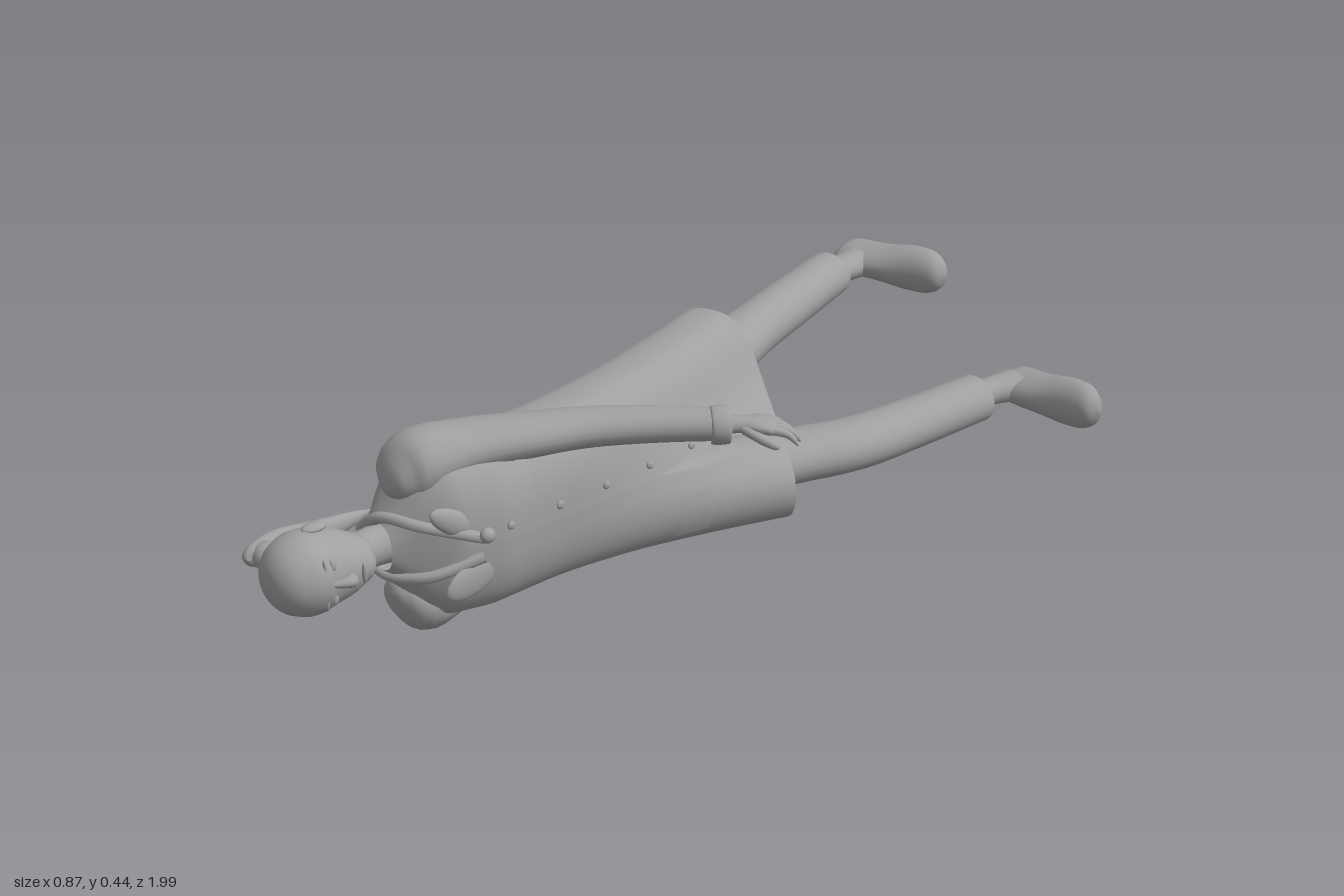
import * as THREE from 'three';

const grey = new THREE.MeshStandardMaterial({ color: 0xa0a0a0, side: THREE.DoubleSide });
grey.name = 'plainGrey';
const MID = 0.22; // height of the body's plane of symmetry

// Surface over a grid of points; wrap joins the last column to the first
function grid(rows, cols, point, wrap) {
  const pos = [], idx = [], w = wrap ? cols : cols + 1;
  for (let i = 0; i <= rows; i++)
    for (let j = 0; j < w; j++) pos.push(...point(i / rows, j / cols));
  for (let i = 0; i < rows; i++)
    for (let j = 0; j < cols; j++) {
      const a = i * w + j, b = i * w + (j + 1) % w;
      idx.push(a, a + w, b, b, a + w, b + w);
    }
  const g = new THREE.BufferGeometry();
  g.setAttribute('position', new THREE.Float32BufferAttribute(pos, 3));
  g.setIndex(idx);
  g.computeVertexNormals();
  return g;
}

// Smooth interpolation through rows of numbers
function spline(rows, t) {
  const f = t * (rows.length - 1), i = Math.min(Math.floor(f), rows.length - 2), u = f - i;
  const at = (k) => rows[Math.min(Math.max(k, 0), rows.length - 1)];
  const [a, b, c, d] = [at(i - 1), at(i), at(i + 1), at(i + 2)];
  return b.map((_, k) => 0.5 * (2 * b[k] + (c[k] - a[k]) * u
    + (2 * a[k] - 5 * b[k] + 4 * c[k] - d[k]) * u * u
    + (3 * b[k] - a[k] - 3 * c[k] + d[k]) * u * u * u));
}

// Loft of ellipses [x, y, z, radius across, radius in y]; "under" flattens the lower half
function loft(sections, cols = 20, under = null) {
  return grid((sections.length - 1) * 4, cols, (t, s) => {
    const c = spline(sections, t);
    const p = spline(sections, Math.max(0, t - 0.02)), q = spline(sections, Math.min(1, t + 0.02));
    const dx = q[0] - p[0], dz = q[2] - p[2], l = Math.hypot(dx, dz) || 1;
    const a = s * Math.PI * 2, rx = Math.max(c[3], 0), ry = Math.max(c[4], 0);
    let r = rx * Math.cos(a);
    if (under !== null && r < 0) r = Math.max(r, -under);
    return [c[0] - r * dz / l, c[1] + ry * Math.sin(a), c[2] + r * dx / l];
  }, true);
}

// Coat profile: z, centre x, half depth, half width
const COAT = [
  [0.745, -0.035, 0.045, 0.05], [0.72, -0.035, 0.062, 0.085], [0.69, -0.03, 0.085, 0.145],
  [0.64, -0.015, 0.11, 0.175], [0.55, -0.003, 0.122, 0.18], [0.4, -0.003, 0.12, 0.18],
  [0.2, -0.005, 0.118, 0.187], [0, -0.005, 0.116, 0.196], [-0.21, -0.005, 0.11, 0.205],
];
function coatAt(z) {
  let i = 0;
  while (i < COAT.length - 2 && COAT[i + 1][0] > z) i++;
  const u = (COAT[i][0] - z) / (COAT[i][0] - COAT[i + 1][0]);
  return COAT[i].map((v, k) => v + (COAT[i + 1][k] - v) * u);
}
// The skirt follows the stride: one side swings back, the other forward
const swing = (y, z) => -0.115 * Math.pow(Math.max(0, (0.4 - z) / 0.61), 1.6) * Math.tanh((y - MID) / 0.08);
const soft = (v) => Math.sign(v) * Math.pow(Math.abs(v), 0.8);
function coatPoint(z, a) {
  const [, cx, rx, ry] = coatAt(z);
  const y = MID + ry * soft(Math.sin(a)), dx = rx * soft(Math.cos(a));
  const hem = Math.max(0, (0.15 - z) / 0.36);
  return [cx + dx + swing(y, z), y, z - 0.4 * dx * hem * Math.tanh((y - MID) / 0.07)];
}
function frontX(y, z) {
  const [, cx, rx, ry] = coatAt(z);
  return cx + rx * Math.pow(Math.max(0, 1 - Math.pow(Math.abs(y - MID) / ry, 2.5)), 0.4) + swing(y, z);
}

export function createModel() {
  const model = new THREE.Group();
  const add = (name, geometry, x = 0, y = 0, z = 0) => {
    const m = new THREE.Mesh(geometry, grey);
    m.name = name;
    m.position.set(x, y, z);
    model.add(m);
    return m;
  };
  const ball = (name, x, y, z, sx, sy, sz) =>
    add(name, new THREE.SphereGeometry(1, 18, 12), x, y, z).scale.set(sx, sy, sz);

  // Coat, open at the front below the waist
  add('coat', grid(48, 48, (t, s) => {
    const z = 0.745 - t * 0.955;
    const gap = 0.035 * Math.min(1, Math.max(0, (0.14 - z) / 0.12));
    return coatPoint(z, gap + s * (Math.PI * 2 - 2 * gap));
  }, false));

  // Pocket flaps follow the cloth
  const patch = (name, y0, y1, z0, z1) => add(name, grid(6, 6, (t, s) => {
    const y = y0 + s * (y1 - y0), z = z1 + t * (z0 - z1);
    return [frontX(y, z) + 0.006, y, z];
  }, false));
  patch('chestPocket', 0.29, 0.365, 0.48, 0.56);
  patch('leftPocketFlap', 0.27, 0.37, 0.03, 0.11);
  patch('rightPocketFlap', 0.07, 0.165, 0.03, 0.11);
  for (let z = 0.54; z > -0.15; z -= 0.125)
    ball('button', frontX(0.25, z) + 0.002, 0.25, z, 0.005, 0.009, 0.009);

  // Lapels, collar and clasp
  const lapelShape = new THREE.SphereGeometry(1, 18, 12);
  for (const [name, y, z, turn] of [['rightLapel', 0.155, 0.62, -0.25], ['leftLapel', 0.28, 0.65, 0.6]]) {
    const lapel = add(name, lapelShape, frontX(y, z) + 0.002, y, z);
    lapel.scale.set(0.013, name === 'leftLapel' ? 0.025 : 0.036, 0.068);
    lapel.rotation.x = -turn;
  }
  ball('clasp', 0.122, 0.25, 0.6, 0.014, 0.016, 0.016);
  for (const side of [-1, 1]) {
    const edge = new THREE.CatmullRomCurve3([[-0.085, 0.02, 0.75], [-0.03, 0.06, 0.74],
      [0.05, 0.055, 0.70], [0.112, 0.02, 0.6]].map(([x, y, z]) => new THREE.Vector3(x, MID + side * y, z)));
    add('collarEdge', new THREE.TubeGeometry(edge, 20, 0.012, 8));
  }

  // Neck and head
  add('neck', loft([[-0.03, MID, 0.83, 0.042, 0.045], [-0.038, MID, 0.77, 0.037, 0.04],
    [-0.04, MID, 0.69, 0.045, 0.05]]));
  add('head', loft([[-0.04, MID, 0.995, 0, 0], [-0.04, MID, 0.988, 0.036, 0.036],
    [-0.04, MID, 0.965, 0.066, 0.066], [-0.04, MID, 0.925, 0.083, 0.083], [-0.038, MID, 0.885, 0.083, 0.081],
    [-0.025, MID, 0.845, 0.068, 0.069], [-0.012, MID, 0.81, 0.054, 0.052],
    [0.002, MID, 0.788, 0.037, 0.032], [0.006, MID, 0.78, 0, 0]], 28));
  add('nose', loft([[0.035, MID, 0.9, 0.008, 0.006], [0.046, MID, 0.873, 0.013, 0.011],
    [0.044, MID, 0.86, 0.014, 0.014], [0.04, MID, 0.853, 0, 0]], 12));
  ball('mouth', 0.04, MID, 0.83, 0.006, 0.022, 0.005);
  for (const side of [-1, 1]) {
    ball('eye', 0.029, MID + side * 0.034, 0.893, 0.008, 0.015, 0.008);
    ball('brow', 0.032, MID + side * 0.034, 0.912, 0.006, 0.02, 0.004);
    ball('ear', -0.045, MID + side * 0.083, 0.88, 0.017, 0.009, 0.027);
  }

  // Ponytail
  ball('hairKnot', -0.14, MID, 0.925, 0.036, 0.03, 0.032);
  add('ponytail', loft([[-0.15, MID, 0.965, 0, 0], [-0.16, MID, 0.95, 0.02, 0.022], [-0.168, MID, 0.89, 0.022, 0.033],
    [-0.157, MID, 0.8, 0.018, 0.027], [-0.16, MID, 0.72, 0.011, 0.016], [-0.166, MID, 0.66, 0, 0]]));

  // Sleeves, each following its own swing
  add('leftSleeve', loft([[-0.03, 0.335, 0.725, 0, 0], [-0.03, 0.35, 0.71, 0.045, 0.04], [-0.028, 0.367, 0.66, 0.075, 0.07],
    [0.005, 0.385, 0.55, 0.07, 0.051], [0.07, 0.392, 0.42, 0.058, 0.042], [0.12, 0.394, 0.33, 0.05, 0.039],
    [0.2, 0.395, 0.23, 0.042, 0.036], [0.285, 0.395, 0.14, 0.034, 0.033]]));
  add('rightSleeve', loft([[-0.03, 0.105, 0.725, 0, 0], [-0.03, 0.09, 0.71, 0.045, 0.04], [-0.035, 0.073, 0.66, 0.075, 0.07],
    [-0.07, 0.056, 0.55, 0.065, 0.05], [-0.14, 0.048, 0.43, 0.052, 0.042], [-0.2, 0.045, 0.35, 0.046, 0.037],
    [-0.27, 0.044, 0.25, 0.04, 0.035], [-0.335, 0.043, 0.16, 0.034, 0.032]]));

  // Cuffs and hands; palms face the body and the fingers curl inward
  function hand(side, x, y, z, dx, dz) {
    const at = (s, u, curl, r, ry = r) => [x + dx * s - dz * u, y - side * curl, z + dz * s + dx * u, r, ry];
    const name = side > 0 ? 'left' : 'right';
    add(name + 'Cuff', loft([at(-0.035, 0, 0, 0.034), at(-0.03, 0, 0, 0.039), at(0, 0, 0, 0.039), at(0.005, 0, 0, 0.03)]));
    add(name + 'Palm', loft([at(-0.02, 0, 0, 0.024, 0.02), at(0.025, 0, 0, 0.022, 0.017),
      at(0.06, 0, 0.002, 0.034, 0.016), at(0.09, 0, 0.006, 0.035, 0.014), at(0.1, 0, 0.008, 0, 0)], 16));
    for (let k = 0; k < 4; k++) {
      const u = (k - 1.5) * 0.017, len = [0.04, 0.055, 0.06, 0.052][k];
      add(name + 'Finger', loft([at(0.08, u, 0.004, 0.01), at(0.085 + len * 0.5, u * 1.1, 0.012, 0.009),
        at(0.085 + len * 0.9, u * 1.1, 0.03, 0.008), at(0.085 + len, u * 1.1, 0.04, 0)], 10));
    }
    add(name + 'Thumb', loft([at(0.03, 0.015, 0.004, 0.012), at(0.065, 0.036, 0.02, 0.011),
      at(0.09, 0.04, 0.032, 0.009), at(0.1, 0.04, 0.036, 0)], 10));
  }
  hand(1, 0.295, 0.395, 0.13, 0.6, -0.8);
  hand(-1, -0.345, 0.043, 0.145, -0.55, -0.835);

  // Trousers, open at the hem
  add('leftTrouserLeg', loft([[-0.03, 0.3, 0.08, 0.075, 0.07], [-0.065, 0.303, -0.08, 0.085, 0.068],
    [-0.12, 0.304, -0.25, 0.077, 0.064], [-0.175, 0.304, -0.4, 0.067, 0.06],
    [-0.245, 0.302, -0.6, 0.064, 0.058], [-0.312, 0.3, -0.795, 0.062, 0.055]], 24));
  add('rightTrouserLeg', loft([[0, 0.13, 0.08, 0.075, 0.07], [0.04, 0.13, -0.08, 0.085, 0.064],
    [0.095, 0.13, -0.25, 0.078, 0.058], [0.145, 0.13, -0.4, 0.072, 0.057],
    [0.162, 0.13, -0.58, 0.065, 0.056], [0.169, 0.13, -0.79, 0.062, 0.055]], 24));
  add('leftAnkle', loft([[-0.305, 0.298, -0.72, 0.042, 0.034], [-0.315, 0.298, -0.83, 0.04, 0.032],
    [-0.325, 0.298, -0.91, 0.05, 0.036]]));
  add('rightAnkle', loft([[0.165, 0.13, -0.72, 0.042, 0.034], [0.165, 0.13, -0.83, 0.036, 0.032],
    [0.185, 0.13, -0.92, 0.05, 0.036]]));

  // Shoes: distance along the sole, height, half width
  const SHOE = [[0, 0, 0], [0.004, 0.05, 0.022], [0.03, 0.085, 0.037], [0.09, 0.09, 0.04], [0.14, 0.08, 0.045],
    [0.2, 0.06, 0.055], [0.26, 0.045, 0.053], [0.292, 0.03, 0.032], [0.302, 0, 0]];
  function shoe(name, x, z, angle, y, turn) {
    const c = Math.cos(angle), s = Math.sin(angle);
    add(name, loft(SHOE.map(([d, h, w]) =>
      [x + c * d - s * 0.012, y + turn * d, z + s * d + c * 0.012, h, w]), 24, 0.012));
  }
  shoe('leftShoe', -0.404, -0.97, -0.1, 0.295, 0.03);
  shoe('rightShoe', 0.138, -0.983, 0.2, 0.115, 0.1);

  return model;
}
